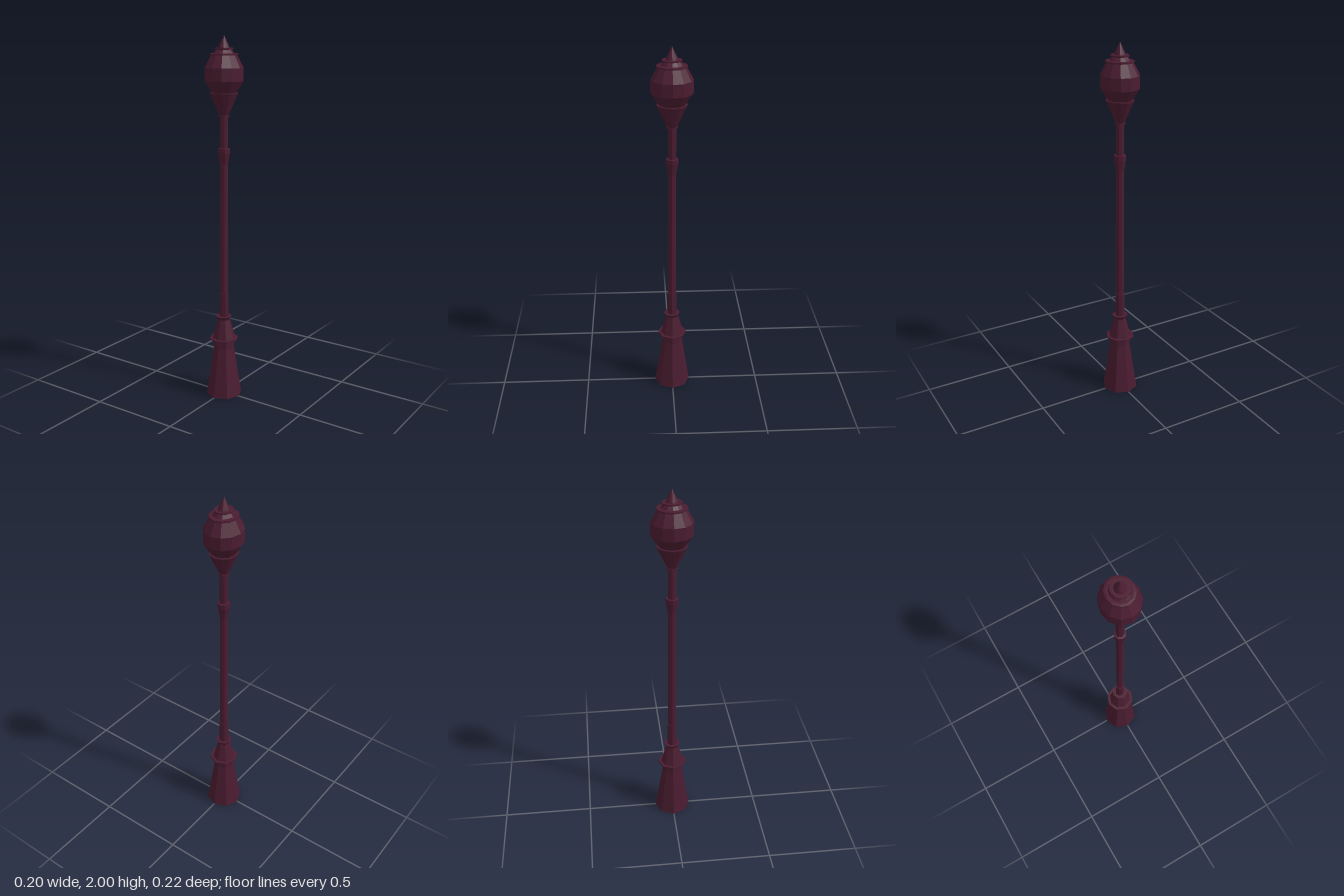
import * as THREE from 'three';

export function createModel() {
  const lamp = new THREE.Group();
  lamp.name = 'streetLamp';
  const paint = new THREE.MeshStandardMaterial({ color: 0x4a1c30, flatShading: true });

  // Faceted turned part: profile of [radius, height] from bottom to top
  function turned(name, sides, profile, parent = lamp) {
    const points = profile.map(([r, y]) => new THREE.Vector2(r, y));
    const mesh = new THREE.Mesh(new THREE.LatheGeometry(points, sides), paint);
    mesh.name = name;
    parent.add(mesh);
  }

  // Flared pedestal with its collar
  turned('pedestal', 8, [[0, 0], [0.1, 0], [0.057, 0.28], [0.057, 0.325], [0, 0.325]]);
  turned('pedestalFlange', 8, [[0, 0.32], [0.06, 0.32], [0.08, 0.327], [0.08, 0.336], [0, 0.336]]);
  turned('upperPedestal', 8, [[0.064, 0.335], [0.034, 0.445], [0.036, 0.45], [0.045, 0.465], [0, 0.465]]);

  // Pole in two thicknesses, with a flared ring
  turned('lowerPole', 8, [[0.026, 0.46], [0.026, 0.6], [0, 0.6]]);
  turned('pole', 8, [[0.022, 0.59], [0.022, 1.59]]);
  turned('poleRing', 8, [[0, 1.325], [0.023, 1.325], [0.033, 1.385], [0.033, 1.41], [0, 1.415]]);

  // Lantern head, slightly narrower across x
  const head = new THREE.Group();
  head.name = 'lanternHead';
  head.scale.x = 0.91;
  lamp.add(head);
  turned('neckRing', 12, [[0, 1.578], [0.03, 1.578], [0.03, 1.587], [0, 1.587]], head);
  turned('cup', 12, [[0, 1.585], [0.025, 1.585], [0.08, 1.7], [0.08, 1.705], [0, 1.705]], head);
  turned('globe', 12, [[0.066, 1.7], [0.11, 1.765], [0.11, 1.833], [0.072, 1.9], [0, 1.9]], head);
  turned('capRim', 12, [[0, 1.897], [0.08, 1.897], [0.08, 1.905], [0.068, 1.907], [0, 1.907]], head);
  turned('capStep', 12, [[0.06, 1.905], [0.044, 1.925], [0.052, 1.927], [0.052, 1.934], [0, 1.934]], head);
  turned('finial', 12, [[0.034, 1.93], [0.03, 1.94], [0, 2]], head);

  return lamp;
}
